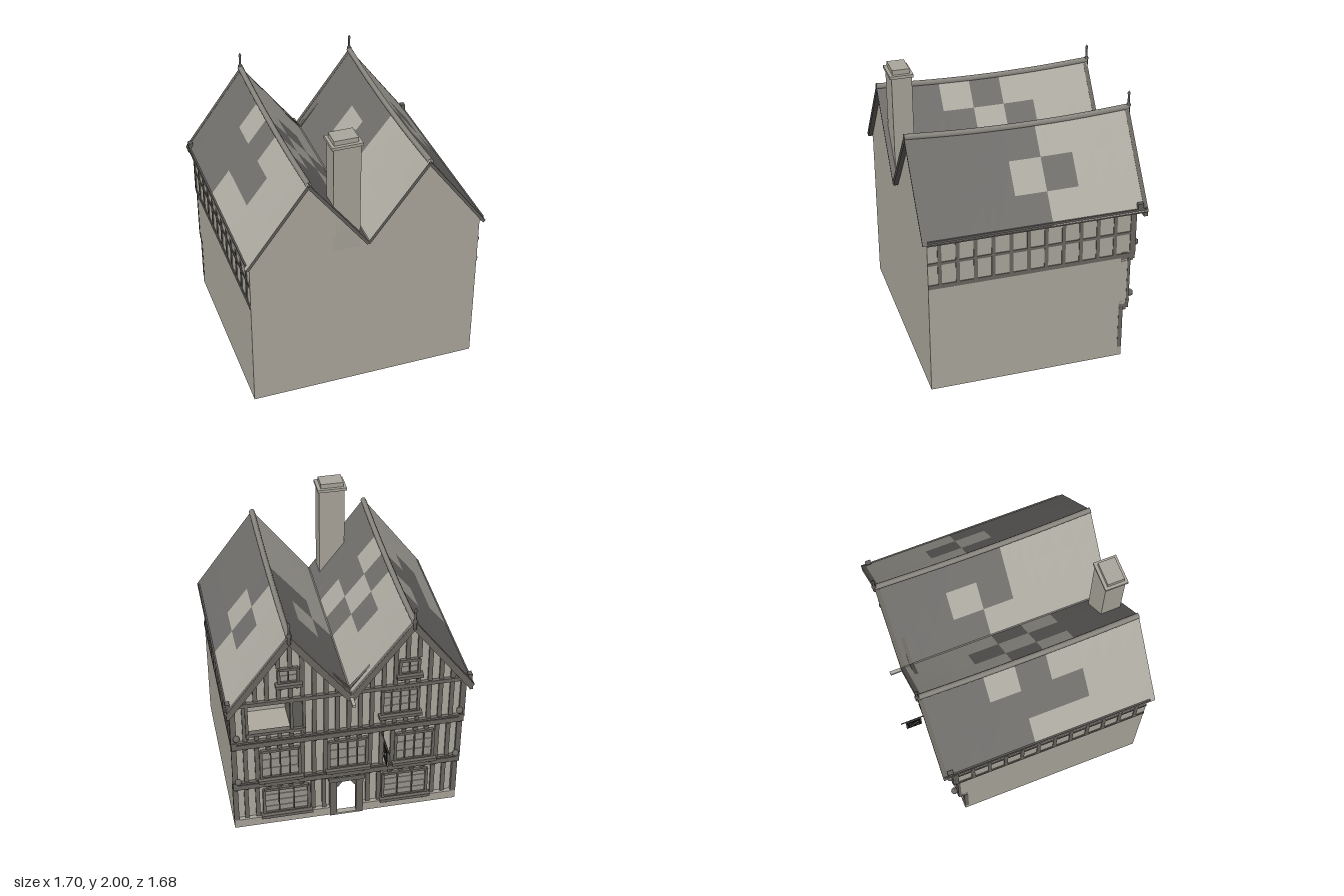
import * as THREE from 'three';

const mat = (name, color, side = THREE.FrontSide) => {
  const m = new THREE.MeshStandardMaterial({ color, side });
  m.name = name;
  return m;
};

export function createModel() {
  const root = new THREE.Group();
  root.name = 'timberedHouse';
  const plaster = mat('plaster', 0xafaba0, THREE.DoubleSide);
  const timber = mat('timber', 0x6c6862);
  const tileLight = mat('lightTile', 0xb0ada4, THREE.DoubleSide);
  const tileDark = mat('darkTile', 0x72706d, THREE.DoubleSide);
  const ridge = mat('ridgeTile', 0x8c8982, THREE.DoubleSide);
  const glass = mat('glass', 0x9a978f);
  const lead = mat('lead', 0x62605c);
  const black = mat('signBlack', 0x0f0f0f);
  const stone = mat('stone', 0xaba79d);

  const add = (name, geo, material, parent = root) => {
    const m = new THREE.Mesh(geo, material);
    m.name = name;
    parent.add(m);
    return m;
  };
  // Box given by its limits
  const box = (name, material, x0, x1, y0, y1, z0, z1, parent = root) => {
    const m = add(name, new THREE.BoxGeometry(Math.abs(x1 - x0), y1 - y0, Math.abs(z1 - z0)), material, parent);
    m.position.set((x0 + x1) / 2, (y0 + y1) / 2, (z0 + z1) / 2);
    return m;
  };
  // Board running between two points of the xy plane
  const slopeBoard = (name, material, xa, ya, xb, yb, thick, z0, z1) => {
    const m = add(name, new THREE.BoxGeometry(Math.hypot(xb - xa, yb - ya), thick, Math.abs(z1 - z0)), material);
    m.position.set((xa + xb) / 2, (ya + yb) / 2, (z0 + z1) / 2);
    m.rotation.z = Math.atan2(yb - ya, xb - xa);
  };
  const poly = (pts) => new THREE.Shape(pts.map(([x, y]) => new THREE.Vector2(x, y)));
  const P = 0.412; // ridge distance from the middle
  const W = 0.81;  // half width of the walls
  const twinGable = (y0) => poly([[-W, y0], [W, y0], [W, 1.2], [P, 1.735], [0, 1.19], [-P, 1.735], [-W, 1.2]]);

  // Plain walls: rear and both sides, hollow and open at the bottom
  add('rearWall', new THREE.ShapeGeometry(twinGable(0)), plaster).position.z = 0.8;
  const sideOutline = [[-0.8, 0], [0.55, 0], [0.55, 0.4], [0.6, 0.44], [0.6, 0.8], [0.63, 0.83], [0.63, 1.2], [-0.8, 1.2]];
  const left = add('leftWall', new THREE.ShapeGeometry(poly(sideOutline)), plaster);
  left.position.x = W;
  left.rotation.y = Math.PI / 2;
  const right = add('rightWall', new THREE.ShapeGeometry(poly(sideOutline.map(([z, y]) => [-z, y]).reverse())), plaster);
  right.position.x = -W;
  right.rotation.y = -Math.PI / 2;

  // Street facade: three storeys, each stepping out (shapes are turned, so x is mirrored)
  const facade = (name, shape, z) => {
    const m = add(name, new THREE.ShapeGeometry(shape), plaster);
    m.rotation.y = Math.PI;
    m.position.z = z;
  };
  const ground = poly([[-W, 0], [W, 0], [W, 0.42], [-W, 0.42]]);
  ground.holes.push(new THREE.Path().moveTo(-0.07, 0.01).lineTo(-0.07, 0.27).quadraticCurveTo(-0.06, 0.33, 0, 0.33)
    .quadraticCurveTo(0.06, 0.33, 0.07, 0.27).lineTo(0.07, 0.01));
  facade('groundStorey', ground, -0.55);
  facade('firstStorey', poly([[-W, 0.42], [W, 0.42], [W, 0.82], [-W, 0.82]]), -0.6);
  const upper = twinGable(0.82);
  upper.holes.push(new THREE.Path().moveTo(-0.69, 0.91).lineTo(-0.69, 1.17).lineTo(-0.4, 1.17).lineTo(-0.4, 0.91));
  facade('gableStorey', upper, -0.63);

  // Open loggia in one gable
  const loggia = new THREE.Group();
  loggia.name = 'loggia';
  root.add(loggia);
  box('loggiaBack', plaster, 0.4, 0.69, 0.91, 1.17, -0.4, -0.39, loggia);
  box('loggiaFloor', plaster, 0.4, 0.69, 0.9, 0.91, -0.63, -0.39, loggia);
  box('loggiaCeiling', timber, 0.4, 0.69, 1.17, 1.18, -0.63, -0.39, loggia);
  for (const x of [0.392, 0.69]) box('loggiaSide', timber, x, x + 0.008, 0.91, 1.17, -0.63, -0.39, loggia);
  for (const x of [0.3, 0.385, 0.69]) box('loggiaPost', timber, x, x + 0.02, 0.88, 1.19, -0.655, -0.62, loggia);
  box('loggiaShutter', lead, 0.32, 0.385, 0.92, 1.17, -0.64, -0.625, loggia);
  box('loggiaRail', timber, 0.3, 0.71, 0.9, 0.925, -0.66, -0.62, loggia);

  // Leaded windows with timber frame and mullions, pale glazing bars and a sill
  const windows = [];
  const addWindow = (name, x, y, w, h, z, cols, rows) => {
    const g = new THREE.Group();
    g.name = name;
    root.add(g);
    windows.push({ x, y, w: w + 0.03, h: h + 0.03 });
    const l = x - w / 2, b = y - h / 2;
    box('pane', glass, l, l + w, b, b + h, z - 0.008, z, g);
    for (let i = 0; i <= cols; i++) {
      const t = i % cols ? 0.004 : 0.01, c = l + (w * i) / cols;
      box('upright', timber, c - t, c + t, b, b + h, z - 0.024, z, g);
    }
    for (let j = 0; j <= rows; j++) {
      const edge = j % rows === 0, t = edge ? 0.01 : 0.003, c = b + (h * j) / rows;
      box('crossbar', edge ? timber : stone, l, l + w, c - t, c + t, z - (edge ? 0.022 : 0.013), z, g);
    }
    box('sill', timber, l - 0.025, l + w + 0.025, b - 0.025, b, z - 0.05, z, g);
    for (const s of [-1, 1]) {
      const k = add('sillKnob', new THREE.SphereGeometry(0.015, 8, 6), timber, g);
      k.position.set(x + s * w * 0.42, b - 0.033, z - 0.025);
    }
  };
  for (const s of [-1, 1]) {
    addWindow('groundWindow', s * 0.43, 0.2, 0.32, 0.22, -0.55, 3, 4);
    addWindow('firstFloorWindow', s * 0.475, 0.595, 0.27, 0.24, -0.6, 4, 3);
    addWindow('atticWindow', s * 0.41, 1.35 + s * 0.025, 0.13, 0.11, -0.63, 2, 2);
  }
  addWindow('firstFloorWindow', 0, 0.6, 0.27, 0.24, -0.6, 4, 3);
  addWindow('gableWindow', -0.355, 1.04, 0.25, 0.2, -0.63, 4, 3);

  // Close studding, left out where a window, the loggia or the door is
  const openings = [...windows, { x: 0.505, y: 1.04, w: 0.41, h: 0.3 }, { x: 0, y: 0.18, w: 0.24, h: 0.38 }];
  const roofY = (x) => 1.69 - Math.abs(Math.abs(x) - P) * 1.33;
  const studs = (name, y0, top, z, n) => {
    for (let i = 0; i <= n; i++) {
      const x = -0.795 + (1.59 * i) / n;
      let pieces = [[y0, top(x)]];
      for (const o of openings) {
        if (Math.abs(x - o.x) > o.w / 2) continue;
        pieces = pieces.flatMap(([a, b]) => {
          const lo = o.y - o.h / 2, hi = o.y + o.h / 2;
          return hi <= a || lo >= b ? [[a, b]] : [[a, lo], [hi, b]];
        });
      }
      for (const [a, b] of pieces) if (b - a > 0.02) box(name, timber, x - 0.015, x + 0.015, a, b, z - 0.015, z);
    }
  };
  studs('groundStud', 0.07, () => 0.4, -0.55, 20);
  studs('firstFloorStud', 0.44, () => 0.8, -0.6, 20);
  studs('upperFloorStud', 0.84, () => 1.18, -0.63, 20);
  studs('gableStud', 1.18, roofY, -0.63, 20);

  // Plinth on either side of the door, and the horizontal beams
  for (const s of [-1, 1]) box('plinth', stone, s * 0.12, s * W, 0, 0.07, -0.58, -0.55);
  const beams = [[0.36, 0.385, -0.575], [0.395, 0.435, -0.62], [0.445, 0.46, -0.625], [0.765, 0.785, -0.62],
    [0.79, 0.83, -0.65], [0.84, 0.855, -0.655], [1.155, 1.185, -0.655]];
  for (const [a, b, z] of beams) box('beam', timber, -W, W, a, b, z, z < -0.63 && a > 1 ? -0.625 : -0.55);
  for (let i = 0; i <= 20; i++) {
    const x = -0.79 + i * 0.079;
    box('lowerCorbel', timber, x - 0.014, x + 0.014, 0.375, 0.405, -0.605, -0.55);
    box('upperCorbel', timber, x - 0.014, x + 0.014, 0.775, 0.8, -0.64, -0.6);
  }
  for (const s of [-1, 1]) {
    box('groundCornerPost', timber, s * (W - 0.035), s * (W + 0.002), 0.07, 0.4, -0.58, -0.55);
    box('firstCornerPost', timber, s * (W - 0.035), s * (W + 0.002), 0.43, 0.8, -0.62, -0.6);
    box('upperCornerPost', timber, s * (W - 0.035), s * (W + 0.004), 0.83, 1.18, -0.65, -0.61);
    for (const [y, z] of [[0.49, -0.64], [0.9, -0.66]]) {
      const k = add('carvedBoss', new THREE.SphereGeometry(0.025, 8, 6), timber);
      k.position.set(s * 0.775, y, z);
    }
  }

  // Door surround with a step
  for (const s of [-1, 1]) {
    box('doorPost', timber, s * 0.07, s * 0.12, 0, 0.34, -0.59, -0.55);
    slopeBoard('doorBrace', timber, s * 0.075, 0.27, s * 0.03, 0.33, 0.03, -0.58, -0.55);
  }
  box('doorLintel', timber, -0.13, 0.13, 0.325, 0.365, -0.6, -0.55);
  box('doorStep', stone, -0.11, 0.11, 0, 0.015, -0.59, -0.55);

  // Timber band along both side walls, eaves board and rainwater hopper
  for (const s of [-1, 1]) {
    const x0 = s * W, x1 = s * (W + 0.006);
    for (const [a, b] of [[0.81, 0.842], [0.99, 1.01], [1.155, 1.18]]) box('sideRail', timber, x0, x1, a, b, -0.63, 0.8);
    for (let i = 0; i < 12; i++) {
      const z = 0.72 - i * 0.122;
      box('sidePost', timber, x0, x1, 0.84, 1.16, z - 0.013, z + 0.013);
    }
    box('eavesBoard', lead, s * 0.81, s * 0.838, 1.152, 1.186, -0.71, 0.8);
    box('hopper', lead, s * 0.81, s * 0.84, 1.185, 1.225, -0.685, -0.645);
  }

  // Sagging roof slopes with patches of two tile colours: rows along z, digits from eave to ridge
  const zBands = [-0.72, -0.27, -0.05, 0.17, 0.39, 0.835];
  const sag = (z) => -0.03 * (1 - Math.pow((z - 0.057) / 0.778, 2));
  const slopes = [
    ['leftOuterSlope', 0.843, 1.165, P, ['111', '101', '010', '000', '000']],
    ['leftInnerSlope', 0, 1.2, P, ['000', '010', '100', '111', '111']],
    ['rightInnerSlope', 0, 1.2, -P, ['111', '101', '010', '101', '000']],
    ['rightOuterSlope', -0.843, 1.165, -P, ['000', '001', '100', '101', '111']],
  ];
  for (const [name, xe, ye, xr, rows] of slopes) {
    const lists = [[], []];
    const pt = (t, z) => [xe + (xr - xe) * t, ye + (1.748 - ye) * t + sag(z) * t, z];
    rows.forEach((row, r) => [...row].forEach((c, k) => {
      for (let i = 0; i < 3; i++) {
        const dz = (zBands[r + 1] - zBands[r]) / 3, z0 = zBands[r] + dz * i, z1 = z0 + dz;
        const t0 = k / 3, t1 = (k + 1) / 3;
        const q = [pt(t0, z0), pt(t0, z1), pt(t1, z1), pt(t1, z0)];
        if (xr < xe) q.reverse();
        lists[+c].push(...q[0], ...q[1], ...q[2], ...q[0], ...q[2], ...q[3]);
      }
    }));
    lists.forEach((list, c) => {
      const g = new THREE.BufferGeometry();
      g.setAttribute('position', new THREE.Float32BufferAttribute(list, 3));
      g.computeVertexNormals();
      add(name, g, c ? tileLight : tileDark);
    });
    // Verge strips under the tiles, bargeboards and inner rafters
    const xv = xe * 0.985, yv = ye + (xe ? 0.017 : 0);
    slopeBoard('rearVerge', lead, xv, yv - 0.02, xr, 1.724, 0.022, 0.8, 0.832);
    slopeBoard('bargeboard', timber, xv, yv - 0.034, xr, 1.71, 0.045, -0.718, -0.69);
    slopeBoard('gableRafter', timber, xe * 0.95, ye - 0.015, xr, 1.69, 0.035, -0.655, -0.63);
  }
  for (const s of [-1, 1]) {
    box('bargeFoot', timber, s * 0.815, s * 0.838, 1.125, 1.16, -0.718, -0.69);
    const pts = [-0.72, -0.33, 0.06, 0.45, 0.835].map((z) => new THREE.Vector3(s * P, 1.741 + sag(z), z));
    add('ridgeTiles', new THREE.TubeGeometry(new THREE.CatmullRomCurve3(pts), 16, 0.021, 6), ridge);
    // Finials
    const profile = [[0, 1.68], [0.012, 1.69], [0.012, 1.74], [0.018, 1.755], [0.008, 1.77], [0.008, 1.83], [0.011, 1.84], [0, 1.86]];
    const f = add('finial', new THREE.LatheGeometry(profile.map(([r, y]) => new THREE.Vector2(r, y)), 8), lead);
    f.position.set(s * P, 0, -0.72);
  }
  // Valley gutter with its spout
  box('valleyGutter', ridge, -0.008, 0.008, 1.19, 1.206, -0.72, 0.83);
  box('spout', tileLight, -0.012, 0.012, 1.165, 1.185, -0.8, -0.63);

  // Chimney
  box('chimneyStack', stone, -0.235, -0.05, 1.15, 1.945, 0.66, 0.8);
  box('chimneyCap', stone, -0.25, -0.04, 1.945, 1.966, 0.65, 0.812);
  box('chimneyTop', stone, -0.23, -0.065, 1.966, 2, 0.672, 0.79);

  // Hanging sign with crossed keys
  const sign = new THREE.Group();
  sign.name = 'hangingSign';
  sign.position.set(-0.24, 0.663, -0.745);
  root.add(sign);
  box('signBracket', lead, -0.003, 0.003, 0.078, 0.086, -0.095, 0.145, sign);
  box('signFrame', timber, -0.004, 0.004, -0.07, 0.07, -0.058, 0.058, sign);
  box('signBoard', black, -0.006, 0.006, -0.063, 0.063, -0.051, 0.051, sign);
  for (const z of [-0.04, 0.04]) box('signHanger', lead, -0.002, 0.002, 0.07, 0.08, z - 0.002, z + 0.002, sign);
  for (const s of [-1, 1]) {
    const key = new THREE.Group();
    key.name = 'key';
    key.rotation.x = s * 0.7;
    sign.add(key);
    box('keyShaft', stone, -0.008, 0.008, -0.03, 0.045, -0.003, 0.003, key);
    box('keyBit', stone, -0.008, 0.008, 0.028, 0.042, 0, s * 0.012, key);
    const ring = add('keyRing', new THREE.TorusGeometry(0.009, 0.003, 6, 12), stone, key);
    ring.rotation.y = Math.PI / 2;
    ring.scale.z = 2.7;
    ring.position.y = -0.038;
  }
  return root;
}
